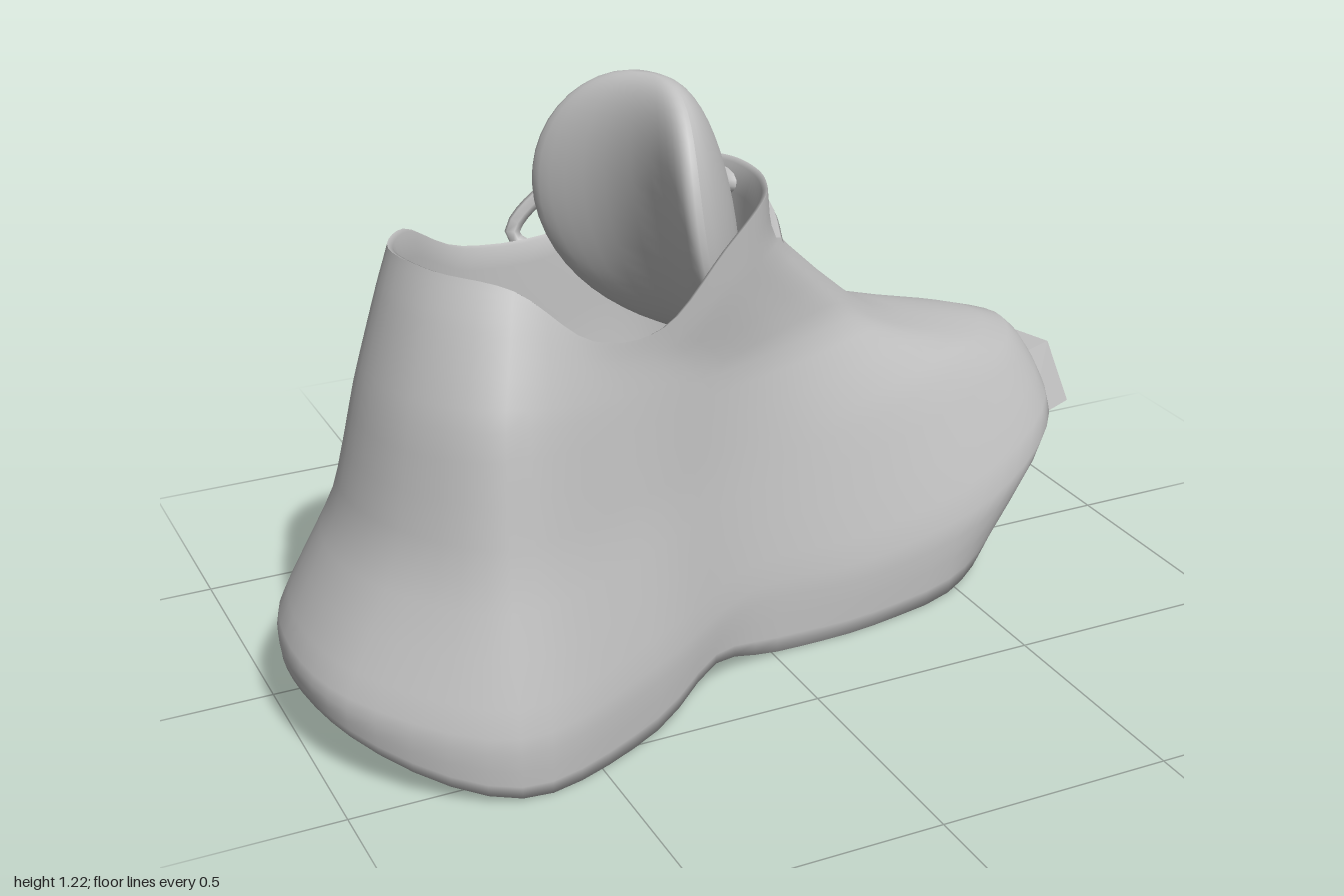
import * as THREE from 'three';

const V = (x, y, z) => new THREE.Vector3(x, y, z);
const AROUND = 75;

// Horizontal outlines [x, y, z], running from the heel along +z to the toe and back along -z
const WELT = [[-1, .21, .13], [-.95, .19, .38], [-.68, .14, .585], [-.35, .16, .48], [-.05, .18, .315],
  [.25, .17, .285], [.62, .2, .185], [.88, .27, -.01], [.92, .3, -.22], [.8, .26, -.42],
  [.33, .18, -.575], [0, .19, -.49], [-.32, .23, -.27], [-.65, .22, -.22], [-.92, .21, -.09]];
const MID = [[-.88, .44, .12], [-.83, .44, .34], [-.66, .43, .505], [-.36, .44, .42], [-.08, .45, .285],
  [.22, .45, .22], [.55, .46, .09], [.79, .45, -.07], [.84, .46, -.2], [.71, .46, -.34],
  [.34, .42, -.48], [.03, .45, -.4], [-.3, .48, -.23], [-.62, .48, -.17], [-.82, .46, -.03]];
const INSTEP = [[-.82, .7, .12], [-.78, .7, .31], [-.64, .71, .455], [-.38, .68, .39], [-.12, .66, .275],
  [.1, .66, .19], [.28, .64, .08], [.41, .59, -.03], [.45, .575, -.13], [.4, .59, -.22],
  [.22, .62, -.315], [.02, .66, -.3], [-.25, .68, -.21], [-.58, .71, -.13], [-.77, .7, 0]];
const RIM = [[-.74, .98, .12], [-.7, .975, .26], [-.58, .95, .36], [-.43, .83, .38], [-.26, .81, .33],
  [-.1, .93, .28], [.01, .995, .22], [.06, 1, .13], [.08, 1, .04], [.07, 1, -.05],
  [.03, .99, -.13], [-.08, .95, -.2], [-.25, .84, -.21], [-.5, .86, -.14], [-.67, .97, 0]];

// Resample an outline as a smooth closed ring
function ring(points) {
  const curve = new THREE.CatmullRomCurve3(points.map(p => V(...p)), true);
  return Array.from({ length: AROUND }, (_, i) => curve.getPoint(i / AROUND));
}

// Pull a ring towards a centre in plan; the height follows a rule of the new x and the old y
const inset = (points, cx, cz, s, height) => points.map(p => {
  const x = cx + (p.x - cx) * s;
  return V(x, height(x, p.y), cz + (p.z - cz) * s);
});

// Join rings into one smooth skin
function skin(rings) {
  const pos = [], index = [];
  rings.forEach(r => r.forEach(p => pos.push(p.x, p.y, p.z)));
  for (let j = 0; j < rings.length - 1; j++) {
    for (let i = 0; i < AROUND; i++) {
      const a = j * AROUND + i, b = j * AROUND + (i + 1) % AROUND;
      index.push(a, b, b + AROUND, a, b + AROUND, a + AROUND);
    }
  }
  const g = new THREE.BufferGeometry();
  g.setAttribute('position', new THREE.Float32BufferAttribute(pos, 3));
  g.setIndex(index);
  g.computeVertexNormals();
  return g;
}

// Rocker of the sole: rises at the heel and the toe, with a small arch between
const soleY = x => .005 + .13 * Math.max(0, (-.6 - x) / .4) ** 2 + .19 * Math.max(0, (x - .38) / .5) ** 2
  + .06 * Math.exp(-(((x + .18) / .12) ** 2));

export function createModel() {
  const model = new THREE.Group();
  const grey = new THREE.MeshStandardMaterial({ color: 0xc0c0c0 });
  grey.name = 'grey';
  const add = (name, geometry) => {
    const mesh = new THREE.Mesh(geometry, grey);
    mesh.name = name;
    model.add(mesh);
    return mesh;
  };

  // Sole edge: follows the welt, drawn back under the toe
  const welt = ring(WELT), instep = ring(INSTEP), rim = ring(RIM);
  const sole = welt.map(p => {
    const x = p.x > .45 ? .45 + (p.x - .45) * .66 : p.x;
    return V(x, soleY(x) + .05 * Math.max(0, -p.z - .3) * (p.x > 0 ? 2 : 0), p.z);
  });
  const throat = rim.map((p, i) => {
    const q = instep[i].clone().lerp(p, THREE.MathUtils.clamp(.9 + p.x * .5, .65, .9));
    q.y = THREE.MathUtils.lerp(instep[i].y, p.y, .68);
    return q;
  });

  // Underside and outer wall: sole, welt, side, instep, throat and collar rim
  const control = [sole, welt, ring(MID), instep, throat, rim];
  const columns = sole.map((_, i) => new THREE.CatmullRomCurve3(control.map(r => r[i]), false, 'catmullrom', .3));
  const body = [0, .2, .4, .6, .8, .92].map(s => inset(sole, -.1, .02, s, soleY));
  for (let j = 0; j <= 20; j++) body.push(columns.map(c => c.getPoint(j / 20)));
  add('upper', skin(body));

  // Lining: thin lip, inner wall and insole
  const lining = [[1, 0], [.97, .01], [.94, .1], [.94, .4], [.91, .8], [.8, 1], [0, 1]].map(([s, d]) =>
    inset(rim, -.35, .1, s, (x, y) => THREE.MathUtils.lerp(y, .36, d)));
  add('lining', skin(lining));

  // Tongue: rounded pad bent around the ankle and leaning slightly back
  const tongue = new THREE.SphereGeometry(1, 32, 24);
  const tp = tongue.attributes.position;
  const soften = v => Math.sign(v) * Math.abs(v) ** .75;
  for (let i = 0; i < tp.count; i++) {
    const a = -soften(tp.getX(i)), h = tp.getY(i);
    const n = .15 * (1 - a * a) + .105 * tp.getZ(i) - .06 * h;
    tp.setXYZ(i, -.23 + .09 * a + .93 * n, .93 + .295 * h, .055 + .22 * a - .37 * n);
  }
  tongue.computeVertexNormals();
  add('tongue', tongue);

  // Toe tab: tapered block set into the tip, its outer face drawn in
  const tab = new THREE.Shape([[-.165, -.07], [.165, -.07], [.1, .07], [-.1, .07]].map(p => new THREE.Vector2(...p)));
  const tabGeometry = new THREE.ExtrudeGeometry(tab, { depth: .16, bevelEnabled: false });
  const bp = tabGeometry.attributes.position;
  for (let i = 0; i < bp.count; i++) {
    if (bp.getZ(i) > .1) bp.setXYZ(i, bp.getX(i) * .88, bp.getY(i), bp.getY(i) > 0 ? .145 : .16);
  }
  tabGeometry.computeVertexNormals();
  const toeTab = add('toeTab', tabGeometry);
  toeTab.position.set(.805, .305, -.205);
  toeTab.rotation.y = Math.atan2(.95, -.3);

  // Lace across the collar, knot and hanging loop
  const lace = (name, points, radius, closed) => add(name,
    new THREE.TubeGeometry(new THREE.CatmullRomCurve3(points.map(p => V(...p)), closed), 40, radius, 6, closed));
  lace('laceBand', [[.07, .87, .15], [.09, .91, .07], [.08, .955, -.03], [.03, .965, -.12], [-.06, .955, -.2]], .02, false);
  lace('laceLoop', [[.02, .95, -.11], [-.1, .96, -.22], [-.25, .9, -.29], [-.33, .81, -.3],
    [-.3, .78, -.275], [-.17, .83, -.245], [-.04, .91, -.17]], .017, true);
  const knot = add('laceKnot', new THREE.SphereGeometry(.045, 12, 8));
  knot.scale.set(.8, .7, 1.4);
  knot.position.set(.06, .95, -.06);

  return model;
}
